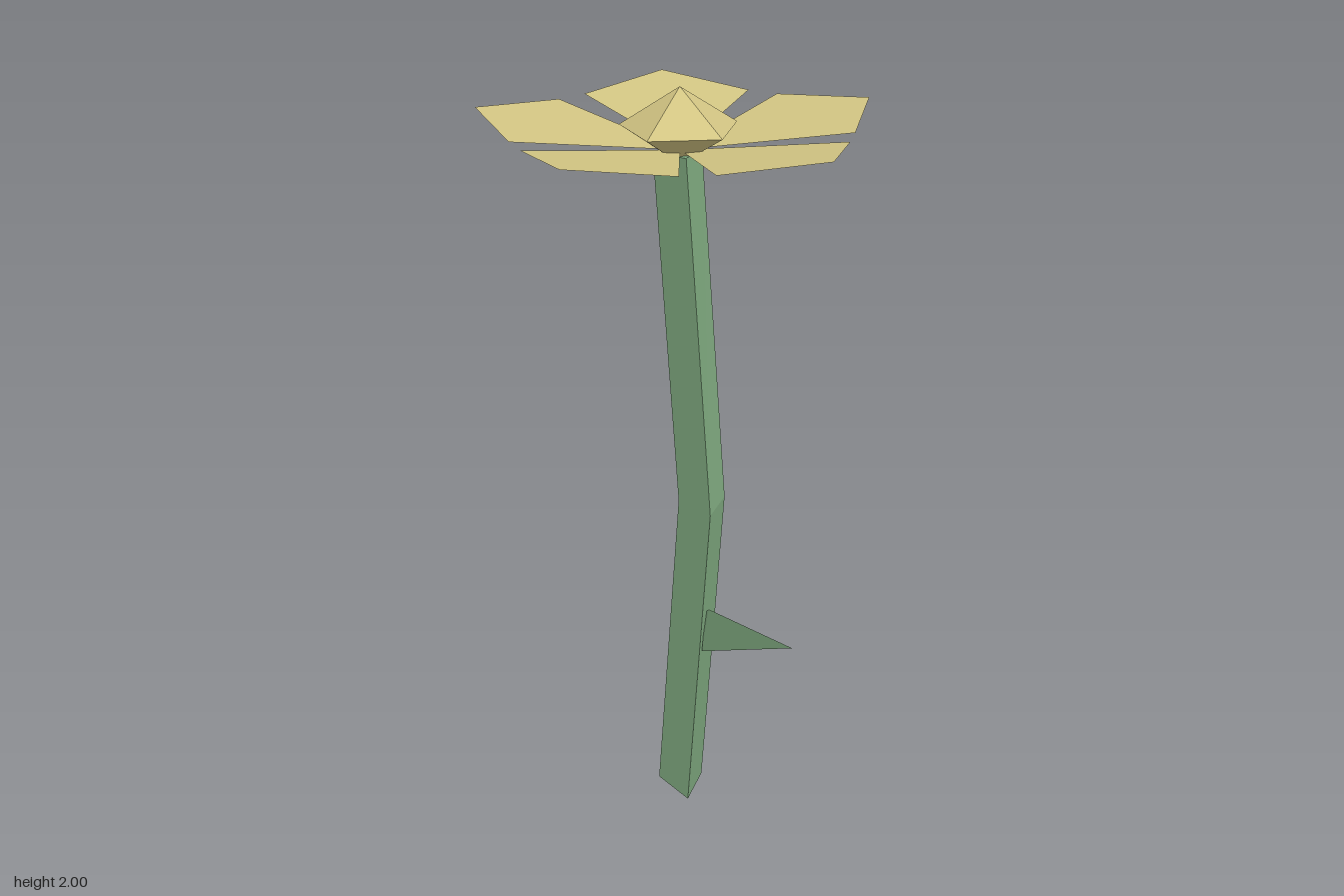
import * as THREE from 'three';

function flatMaterial(name, color, side = THREE.FrontSide) {
  const m = new THREE.MeshStandardMaterial({ color, flatShading: true, side });
  m.name = name;
  return m;
}

// Small faceted surface from a few corners and triangles
function facets(points, index) {
  const g = new THREE.BufferGeometry();
  g.setAttribute('position', new THREE.Float32BufferAttribute(points.flat(), 3));
  g.setIndex(index);
  g.computeVertexNormals();
  return g;
}

export function createModel() {
  const model = new THREE.Group();
  model.name = 'flower';
  const green = flatMaterial('stemGreen', 0x82ad82, THREE.DoubleSide);
  const yellow = flatMaterial('petalYellow', 0xd2c583, THREE.DoubleSide);

  const add = (parent, name, geometry, material) => {
    const mesh = new THREE.Mesh(geometry, material);
    mesh.name = name;
    parent.add(mesh);
    return mesh;
  };

  // Stem: three-sided prism bent sideways at its middle, with tilted ends
  const height = 1.83;
  const stem = new THREE.CylinderGeometry(0.071, 0.071, height, 3, 2, false, Math.PI);
  const p = stem.attributes.position;
  for (let i = 0; i < p.count; i++) {
    const t = p.getY(i) / (height / 2); // -1 bottom, 0 bend, 1 top
    const x = p.getX(i);
    p.setXYZ(i, x + 0.027 - 0.09 * Math.abs(t), p.getY(i) + 0.922 + 0.1 * t * x, p.getZ(i));
  }
  stem.computeVertexNormals();
  add(model, 'stem', stem, green);

  // Leaf: slender folded blade growing out of the stem
  add(model, 'leaf', facets([
    [0.48, 0.735, 0.12], // tip
    [0.05, 0.62, 0.005], // upper base
    [0.045, 0.497, 0.025], // lower base
    [0.03, 0.6, -0.001], // fold against the stem
  ], [0, 1, 2, 1, 3, 2]), green);

  // Flower head
  const head = new THREE.Group();
  head.name = 'flowerHead';
  head.position.set(-0.064, 1.845, 0);
  model.add(head);

  // Petals: five flat kites rising outward
  const rise = 0.15;
  const petal = facets([
    [0, 0, 0],
    [0.364, 0.364 * rise, 0.213],
    [0.517, 0.517 * rise, 0],
    [0.364, 0.364 * rise, -0.213],
  ], [0, 1, 2, 0, 2, 3]);
  for (let i = 0; i < 5; i++) {
    add(head, 'petal' + (i + 1), petal, yellow).rotation.y = (i * Math.PI * 2) / 5;
  }

  // Centre: five-sided double pyramid
  const centre = new THREE.LatheGeometry([
    new THREE.Vector2(0, -0.035),
    new THREE.Vector2(0.152, 0.055),
    new THREE.Vector2(0, 0.155),
  ], 5, Math.PI / 2);
  add(head, 'flowerCentre', centre, yellow);

  return model;
}
